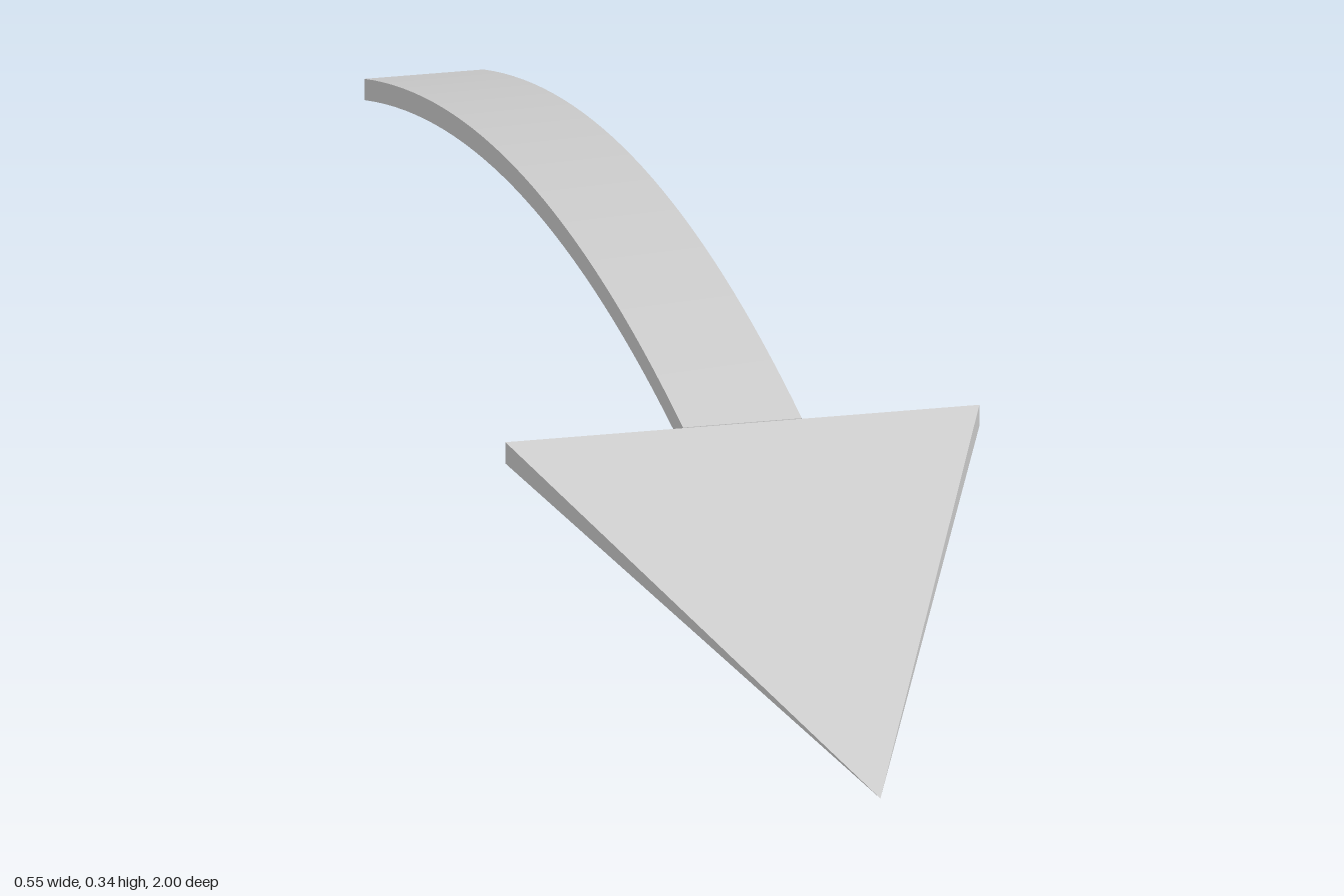
import * as THREE from 'three';
import { toCreasedNormals } from 'three/addons/utils/BufferGeometryUtils.js';
import { ConvexGeometry } from 'three/addons/geometries/ConvexGeometry.js';

const THICK = 0.025;
const JOINT_Z = 0.395;

export function createModel() {
  const group = new THREE.Group();
  const material = new THREE.MeshStandardMaterial({ color: 0xcccccc });

  // Shaft: side profile of a shallow arch, extruded across its width
  const width = 0.138, steps = 32;
  const archY = (z) => 0.343 - 0.185 * (z + 0.28) ** 2;
  const top = [], bottom = [];
  for (let i = 0; i <= steps; i++) {
    const z = THREE.MathUtils.lerp(-1, JOINT_Z, i / steps);
    top.push(new THREE.Vector2(z, archY(z)));
    bottom.push(new THREE.Vector2(z, archY(z) - THICK));
  }
  const profile = new THREE.Shape([...bottom, ...top.reverse()]);
  const arch = new THREE.ExtrudeGeometry(profile, { depth: width, bevelEnabled: false });
  arch.translate(0, 0, -width / 2).rotateY(-Math.PI / 2);
  const shaft = new THREE.Mesh(toCreasedNormals(arch, 0.6), material);
  shaft.name = 'arrowShaft';
  group.add(shaft);

  // Head: wedge with a thin rectangular back, tapering to a point on the ground
  const points = [new THREE.Vector3(0, 0, 1)];
  for (const side of [-1, 1]) {
    for (const y of [0.258, 0.258 - THICK]) points.push(new THREE.Vector3(side * 0.275, y, JOINT_Z));
  }
  const head = new THREE.Mesh(new ConvexGeometry(points), material);
  head.name = 'arrowHead';
  group.add(head);

  return group;
}
